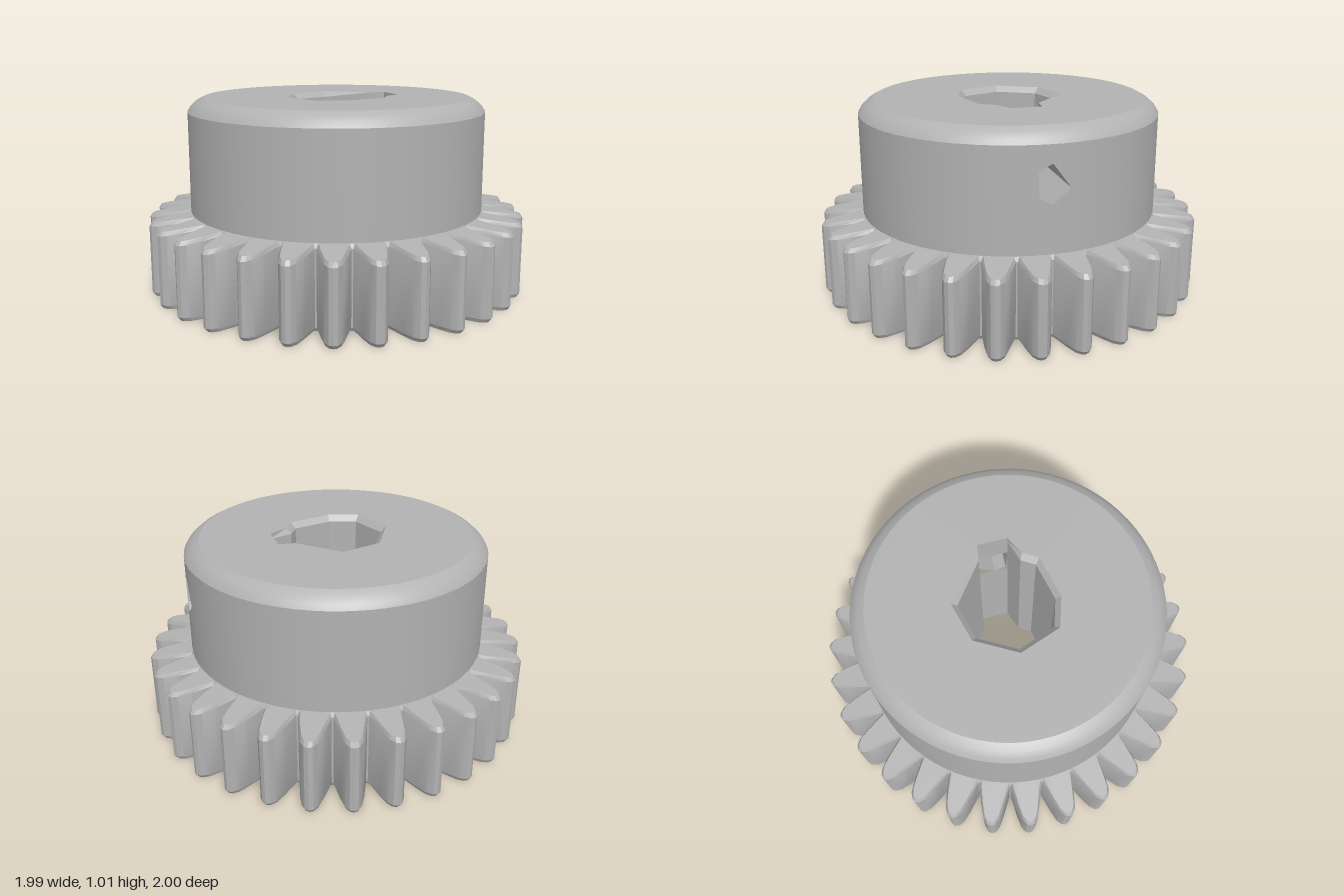
import * as THREE from 'three';
import { toCreasedNormals } from 'three/addons/utils/BufferGeometryUtils.js';

const TEETH = 30, HUB_R = 0.78, PATCH = 0.17;
const RAD = Math.PI / 180;

// Skin between successive closed rings of [x, y, z]; skip(band, segment) leaves an opening
function skin(rings, crease = 0.3, skip = () => false) {
  const pos = [];
  for (let b = 0; b < rings.length - 1; b++) {
    const lo = rings[b], hi = rings[b + 1], n = lo.length;
    for (let i = 0; i < n; i++) {
      if (skip(b, i)) continue;
      const j = (i + 1) % n;
      pos.push(...lo[i], ...lo[j], ...hi[j], ...lo[i], ...hi[j], ...hi[i]);
    }
  }
  const g = new THREE.BufferGeometry();
  g.setAttribute('position', new THREE.Float32BufferAttribute(pos, 3));
  g.computeVertexNormals();
  return toCreasedNormals(g, crease);
}

// Flat horizontal face with holes, from [x, z] outlines
function cap(outline, holes, y, up) {
  const s = up ? -1 : 1;
  const pts = (list) => list.map(([x, z]) => new THREE.Vector2(x, s * z));
  const shape = new THREE.Shape(pts(outline));
  shape.holes = holes.map((h) => new THREE.Path(pts(h)));
  return new THREE.ShapeGeometry(shape).rotateX(s * Math.PI / 2).translate(0, y, 0);
}

const polar = (r, a) => [r * Math.sin(a), r * Math.cos(a)];
const circle = (r, n) => Array.from({ length: n }, (_, i) => polar(r, (i / n) * 2 * Math.PI));
const at = (list, y) => list.map(([x, z]) => [x, typeof y === 'function' ? y(Math.hypot(x, z)) : y, z]);

// Gear outline: half tooth as [radius, degrees from tooth centre], mirrored and repeated
function gearOutline(scale = 1, narrow = 1) {
  const half = [[0.795, 5.7], [0.9, 3.7], [0.965, 2.4], [0.992, 1.2]];
  const tooth = [...half.map(([r, d]) => [r, -d]), [1, 0], ...half.slice().reverse()];
  const out = [];
  for (let t = 0; t < TEETH; t++) {
    for (const [r, d] of tooth) out.push(polar(r * scale, (t * 360 / TEETH + d * narrow) * RAD));
  }
  return out;
}

// Bore with keyway towards +x, clockwise from above
const bore = [[-0.245, 0], [-0.145, -0.19], [0.04, -0.245], [0.24, -0.095], [0.325, -0.085],
  [0.33, 0.07], [0.21, 0.11], [0.17, 0.18], [-0.03, 0.23], [-0.17, 0.19]];
const boreRim = bore.map(([x, z]) => (x < 0.22 ? [x * 1.12, z * 1.12] : [x, z]));

// Set screw hole as [sideways, y]
const screw = [[-0.07, 0.82], [0, 0.85], [0.09, 0.73], [0, 0.66], [-0.06, 0.69]];

export function createModel() {
  const steel = new THREE.MeshStandardMaterial({ color: 0xb2b2b2 });
  steel.name = 'grey metal';
  const model = new THREE.Group();
  model.name = 'hubGear';
  const add = (name, geometry) => {
    const m = new THREE.Mesh(geometry, steel);
    m.name = name;
    model.add(m);
  };

  // Toothed rim with chamfered edges and a top sloping up to the hub
  const full = gearOutline(), inset = gearOutline(0.985, 0.9);
  const topY = (r) => 0.42 - (r - HUB_R) * 0.12;
  const inner = full.map(([x, z]) => {
    const k = (HUB_R - 0.005) / Math.hypot(x, z);
    return [x * k, z * k];
  });
  add('gearTeeth', skin([at(inset, 0), at(full, 0.02), at(full, (r) => topY(r) - 0.02), at(inset, topY)], 0.45));
  add('gearTop', skin([at(inset, topY), at(inner, 0.42)], 0.45));

  // Underside with four blind holes on the diagonals
  const pits = [45, 135, 225, 315].map((d) => {
    const [cx, cz] = polar(0.53, d * RAD);
    return circle(0.068, 5).reverse().map(([x, z]) => [x + cx, z + cz]);
  });
  add('gearUnderside', cap(inset, [boreRim, ...pits], 0, false));
  for (const pit of pits) {
    add('blindHoleWall', skin([at(pit, 0), at(pit, 0.4)]));
    add('blindHoleEnd', cap(pit, [], 0.4, false));
  }

  // Hub wall, leaving a sector at +x for the screw hole
  add('hubWall', new THREE.LatheGeometry(
    [new THREE.Vector2(HUB_R, 0.4), new THREE.Vector2(HUB_R, 0.94)],
    72, Math.PI / 2 + PATCH, 2 * Math.PI - 2 * PATCH));

  // Sector with the hole, wrapped around the hub
  const edge = Array.from({ length: 9 }, (_, i) => -PATCH + (i / 8) * 2 * PATCH);
  const sector = new THREE.Shape([
    ...edge.map((u) => new THREE.Vector2(u, 0.4)),
    ...edge.slice().reverse().map((u) => new THREE.Vector2(u, 0.94))]);
  sector.holes = [new THREE.Path(screw.map(([s, y]) => new THREE.Vector2(s / HUB_R, y)))];
  const patch = new THREE.ShapeGeometry(sector);
  const p = patch.attributes.position, nrm = patch.attributes.normal;
  for (let i = 0; i < p.count; i++) {
    const u = p.getX(i), c = Math.cos(u), s = Math.sin(u);
    p.setXYZ(i, HUB_R * c, p.getY(i), -HUB_R * s);
    nrm.setXYZ(i, c, 0, -s);
  }
  add('hubScrewSector', patch);

  // Screw tunnel running into the keyway
  const ccw = screw.slice().reverse();
  add('screwHole', skin([
    ccw.map(([s, y]) => [HUB_R * Math.cos(s / HUB_R), y, -HUB_R * Math.sin(s / HUB_R)]),
    ccw.map(([s, y]) => [0.327, y, -Math.max(-0.07, Math.min(0.085, s))])]));

  // Rounded shoulder and top face
  const shoulder = [[HUB_R, 0.94], [0.765, 0.965], [0.735, 0.992], [0.7, 1.01]];
  const ring = (r) => circle(r, 72);
  add('hubShoulder', skin(shoulder.map(([r, y]) => at(ring(r), y)), 0.5));
  add('hubTop', cap(ring(0.7), [boreRim], 1.01, true));

  // Through bore; the keyway wall opens where the screw tunnel enters
  add('bore', skin([at(boreRim, 0), at(bore, 0.03), at(bore, 0.66), at(bore, 0.85), at(bore, 0.98), at(boreRim, 1.01)],
    0.3, (band, seg) => band === 2 && seg === 4));

  return model;
}
